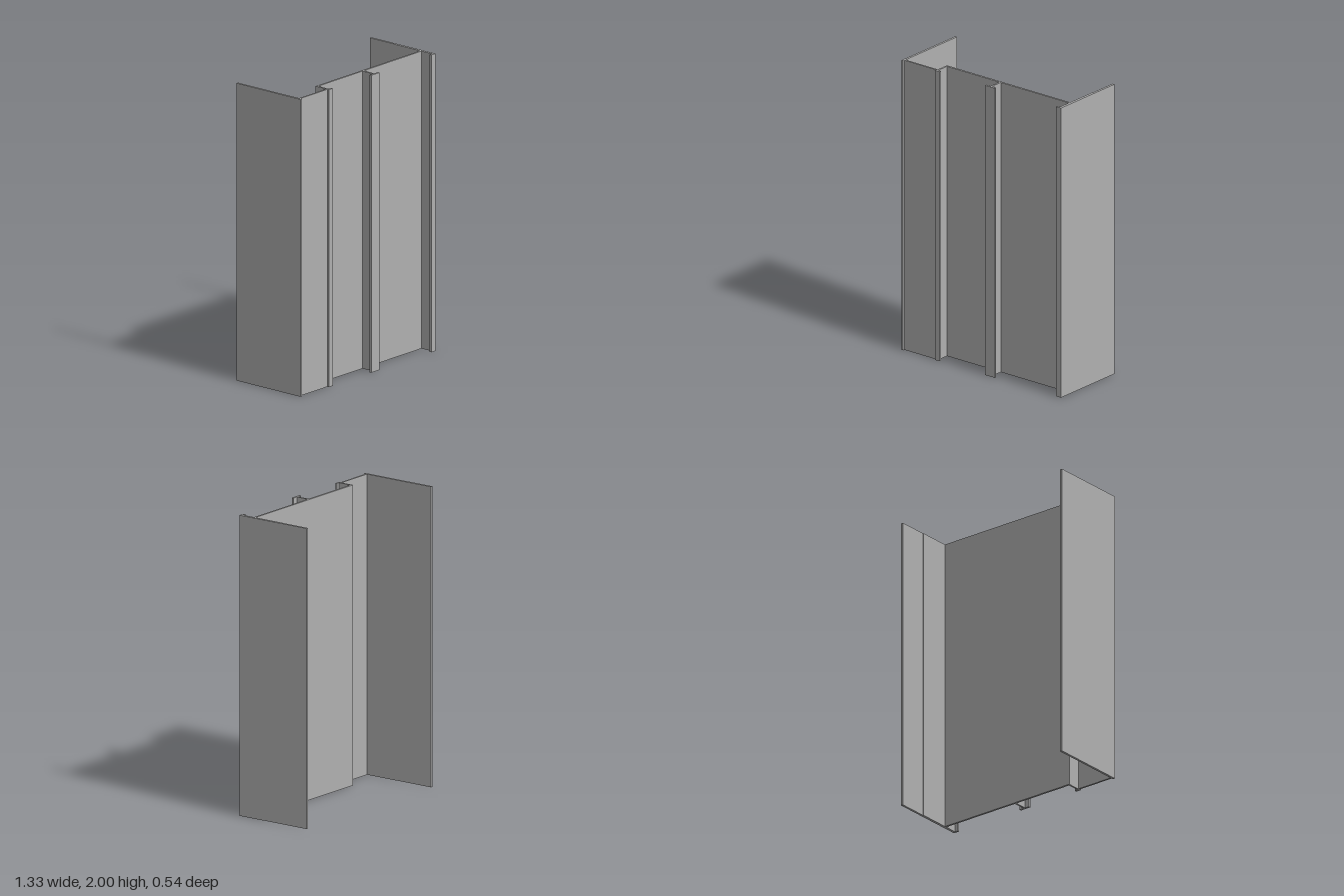
import * as THREE from 'three';

const HEIGHT = 2;

export function createModel() {
  const group = new THREE.Group();
  group.name = 'extrudedFrameProfile';
  const grey = new THREE.MeshStandardMaterial({ color: 0xb0b0b0 });
  grey.name = 'plain grey';

  // Full-height part from a plan outline of [x, z] points
  const extrude = (name, points) => {
    const shape = new THREE.Shape(points.map(([x, z]) => new THREE.Vector2(x, -z)));
    const geometry = new THREE.ExtrudeGeometry(shape, { depth: HEIGHT, bevelEnabled: false });
    geometry.rotateX(-Math.PI / 2);
    const mesh = new THREE.Mesh(geometry, grey);
    mesh.name = name;
    group.add(mesh);
  };
  const plate = (name, x0, x1, z0, z1) =>
    extrude(name, [[x0, z0], [x1, z0], [x1, z1], [x0, z1]]);

  // Side flanges; the left one thins slightly towards the back and has a front lip
  plate('rightFlange', -0.664, -0.648, -0.272, 0.272);
  extrude('leftFlangeWithLip', [
    [0.648, -0.272], [0.664, -0.272], [0.664, 0.272], [0.622, 0.272],
    [0.622, 0.257], [0.645, 0.257], [0.645, -0.065], [0.648, -0.065],
  ]);

  // Front web and the step back to the main web
  plate('frontWeb', -0.648, -0.381, 0.247, 0.259);
  extrude('stepRiserWithFoot', [
    [-0.381, 0.155], [-0.368, 0.155], [-0.368, 0.257], [-0.346, 0.257],
    [-0.346, 0.272], [-0.384, 0.272], [-0.384, 0.259], [-0.381, 0.259],
  ]);
  plate('mainWeb', -0.368, 0.645, 0.155, 0.169);

  // T-shaped rib on the front of the main web
  extrude('teeRib', [
    [0.066, 0.169], [0.079, 0.169], [0.079, 0.257], [0.113, 0.257],
    [0.113, 0.272], [0.033, 0.272], [0.033, 0.257], [0.066, 0.257],
  ]);

  return group;
}
